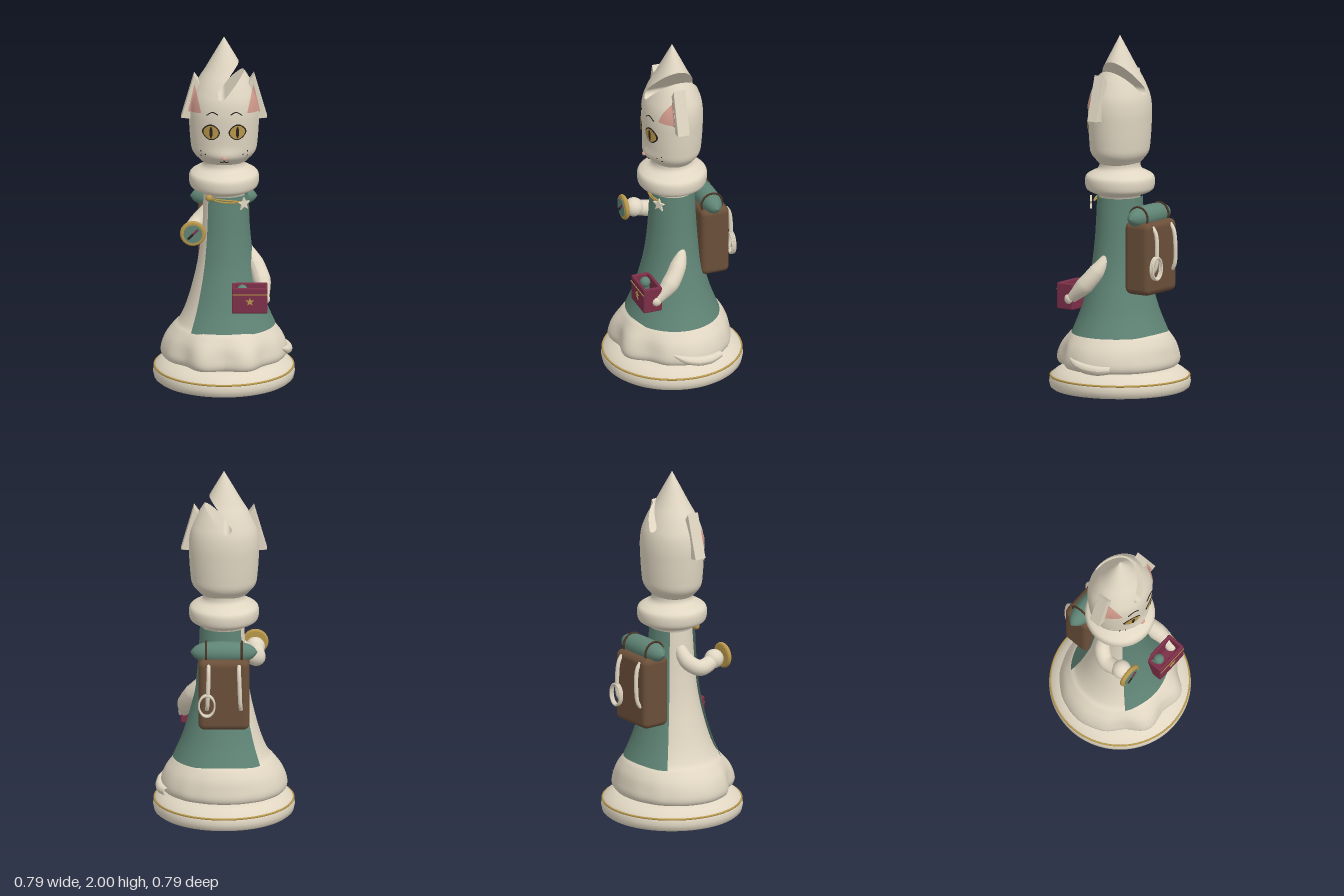
import * as THREE from 'three';
import { mergeVertices } from 'three/addons/utils/BufferGeometryUtils.js';
import { RoundedBoxGeometry } from 'three/addons/geometries/RoundedBoxGeometry.js';

const CREAM = 0xe0d6c2, GREEN = 0x5f8475, BROWN = 0x6b4f39, STRAP = 0x4a3425,
  MAROON = 0x7c2f48, GOLD = 0xb8974a, PINK = 0xd49c8e, DARK = 0x2b2420;
const V = (x, y, z) => new THREE.Vector3(x, y, z);
const V2 = (p) => new THREE.Vector2(p[0], p[1]);

export function createModel() {
  const root = new THREE.Group();
  const add = (name, geo, color, pos = [0, 0, 0], double = false) => {
    const mat = new THREE.MeshStandardMaterial({ color });
    if (double) mat.side = THREE.DoubleSide;
    const m = new THREE.Mesh(geo, mat);
    m.name = name;
    m.position.set(...pos);
    root.add(m);
    return m;
  };
  const smooth = (pts, n = 40) => new THREE.SplineCurve(pts.map(V2)).getPoints(n);
  // Tube whose radius follows a list of values along its length
  const limb = (pts, radii, n = 32, sides = 16) => {
    const curve = new THREE.CatmullRomCurve3(pts.map((p) => V(...p)));
    const geo = new THREE.TubeGeometry(curve, n, 1, sides);
    const pos = geo.attributes.position, v = V(0, 0, 0);
    for (let i = 0; i < pos.count; i++) {
      const t = Math.floor(i / (sides + 1)) / n, c = curve.getPointAt(t);
      const f = t * (radii.length - 1), k = Math.min(Math.floor(f), radii.length - 2);
      const r = THREE.MathUtils.lerp(radii[k], radii[k + 1], f - k);
      v.fromBufferAttribute(pos, i).sub(c).multiplyScalar(r).add(c);
      pos.setXYZ(i, v.x, v.y, v.z);
    }
    geo.computeVertexNormals();
    return geo;
  };
  const star = (r, depth) => {
    const s = new THREE.Shape(Array.from({ length: 10 }, (_, i) => {
      const a = Math.PI / 2 + i * Math.PI / 5, q = i % 2 ? r * 0.42 : r;
      return new THREE.Vector2(q * Math.cos(a), q * Math.sin(a));
    }));
    return new THREE.ExtrudeGeometry(s, { depth, bevelEnabled: false });
  };

  // Base disc with gold trim
  add('base', new THREE.LatheGeometry([[0, 0], [0.375, 0], [0.39, 0.012], [0.396, 0.04], [0.391, 0.068],
    [0.38, 0.085], [0.355, 0.105], [0.33, 0.12], [0.3, 0.135], [0, 0.14]].map(V2), 96), CREAM);
  add('baseTrim', new THREE.TorusGeometry(0.388, 0.006, 8, 96).rotateX(Math.PI / 2), GOLD, [0, 0.073, 0]);

  // Skirt: hem follows a wavy outline over the paws, fading into the round body
  const hem = [0.32, 0.358, 0.32, 0.345, 0.353, 0.348, 0.338, 0.325, 0.32];
  const hemRadius = (a) => {
    const f = Math.abs(Math.atan2(Math.sin(a), Math.cos(a))) / (Math.PI / 8);
    const k = Math.min(Math.floor(f), 7), t = f - k;
    return THREE.MathUtils.lerp(hem[k], hem[k + 1], (1 - Math.cos(Math.PI * t)) / 2);
  };
  const bodyGeo = new THREE.LatheGeometry(smooth([[0.27, 0.145], [0.33, 0.13], [0.352, 0.155], [0.348, 0.2],
    [0.325, 0.255], [0.283, 0.31], [0.25, 0.345], [0.212, 0.43], [0.177, 0.55], [0.148, 0.68], [0.13, 0.82],
    [0.121, 0.95], [0.112, 1.1]], 70), 96);
  const bp = bodyGeo.attributes.position;
  for (let i = 0; i < bp.count; i++) {
    const x = bp.getX(i), y = bp.getY(i), z = bp.getZ(i);
    const w = 1 - THREE.MathUtils.smoothstep(y, 0.19, 0.36);
    const k = 1 + w * (hemRadius(Math.atan2(x, z)) / 0.352 - 1);
    bp.setXYZ(i, x * k, y, z * k);
  }
  bodyGeo.computeVertexNormals();
  add('body', bodyGeo, CREAM, [0, 0, 0], true);

  // Cape, open on one side
  const cape = new THREE.LatheGeometry(smooth([[0.272, 0.32], [0.227, 0.43], [0.191, 0.55], [0.161, 0.68],
    [0.143, 0.82], [0.134, 0.95], [0.128, 1.09]]), 72, -0.71, 4.64);
  cape.scale(1.05, 1, 0.97);
  add('cape', cape, GREEN, [0, 0, 0], true);

  // Neck collar
  add('collar', new THREE.LatheGeometry(smooth([[0.11, 1.07], [0.122, 1.1], [0.16, 1.113], [0.188, 1.132],
    [0.196, 1.17], [0.19, 1.203], [0.165, 1.222], [0.13, 1.24], [0.115, 1.262], [0.115, 1.3]], 48), 72), CREAM);

  // Head surface: oval lathe with a small muzzle in front
  const headPts = smooth([[0, 1.27], [0.11, 1.274], [0.148, 1.3], [0.178, 1.34], [0.188, 1.4], [0.195, 1.5],
    [0.197, 1.58], [0.188, 1.65], [0.165, 1.71], [0.137, 1.765], [0.103, 1.82], [0.053, 1.908], [0, 2]], 110);
  const radiusAt = (y) => {
    const i = headPts.findIndex((p) => p.y >= y);
    if (i < 1) return 0;
    const a = headPts[i - 1], b = headPts[i];
    return a.x + (b.x - a.x) * (y - a.y) / (b.y - a.y);
  };
  const depthAt = (x, y) => 0.86 * Math.sqrt(Math.max(0, radiusAt(y) ** 2 - x * x));
  const muzzle = (x, y) => 0.015 * Math.exp(-((x / 0.09) ** 2) - ((y - 1.335) / 0.045) ** 2);
  const frontAt = (x, y) => depthAt(x, y) + muzzle(x, y);

  // Slanted slot through the crown: vertices inside it snap to its edge
  const A = new THREE.Vector2(-0.016, 1.698), D = new THREE.Vector2(0.65, 0.76).normalize();
  const N = new THREE.Vector2(-D.y, D.x), W = 0.027;
  const headGeo = new THREE.LatheGeometry(headPts, 128);
  headGeo.deleteAttribute('uv');
  headGeo.deleteAttribute('normal');
  const head = mergeVertices(headGeo, 1e-5);
  const hp = head.attributes.position, inside = [];
  for (let i = 0; i < hp.count; i++) {
    let x = hp.getX(i), y = hp.getY(i), z = hp.getZ(i) * 0.86;
    const p = new THREE.Vector2(x, y).sub(A), along = p.dot(D), side = p.dot(N);
    inside[i] = along > 0 ? Math.abs(side) < W : p.length() < W;
    if (inside[i]) {
      if (along > 0) p.copy(D).multiplyScalar(along).addScaledVector(N, side < 0 ? -W : W);
      else p.setLength(W);
      p.add(A);
      for (let k = 0; k < 60 && p.x > radiusAt(p.y); k++) p.addScaledVector(D, -0.001);
      x = p.x; y = p.y;
      z = (z < 0 ? -1 : 1) * depthAt(x, y);
    }
    hp.setXYZ(i, x, y, z > 0 ? z + muzzle(x, y) : z);
  }
  const kept = [], idx = head.index.array;
  for (let i = 0; i < idx.length; i += 3) {
    const t = [idx[i], idx[i + 1], idx[i + 2]];
    if (!t.every((v) => inside[v])) kept.push(...t);
  }
  head.setIndex(kept);
  head.computeVertexNormals();
  add('head', head, CREAM, [0, 0, 0], true);

  // Slot walls: a U-shaped path swept through the depth of the head
  const path = [];
  for (let i = 40; i > 0; i--) path.push(A.clone().addScaledVector(D, i * 0.006).addScaledVector(N, -W));
  for (let i = 0; i <= 16; i++) {
    const a = -Math.PI / 2 + Math.PI * i / 16;
    path.push(A.clone().addScaledVector(D, -W * Math.cos(a)).addScaledVector(N, W * Math.sin(a)));
  }
  for (let i = 1; i <= 40; i++) path.push(A.clone().addScaledVector(D, i * 0.006).addScaledVector(N, W));
  const rim = path.filter((p) => p.x <= radiusAt(p.y));
  const walls = new THREE.PlaneGeometry(1, 1, rim.length - 1, 1);
  rim.forEach((p, i) => [-1, 1].forEach((s, row) =>
    walls.attributes.position.setXYZ(i + row * rim.length, p.x, p.y, s * depthAt(p.x, p.y))));
  walls.computeVertexNormals();
  add('crownSlot', walls, CREAM, [0, 0, 0], true);

  // Thin patches laid on the face
  const decal = (name, geo, map, lift, color, floor = 0) => {
    const p = geo.attributes.position;
    for (let i = 0; i < p.count; i++) {
      const [x, y] = map(p.getX(i), p.getY(i));
      p.setXYZ(i, x, y, Math.max(floor, frontAt(x, y)) + lift);
    }
    geo.computeVertexNormals();
    add(name, geo, color, [0, 0, 0], true);
  };
  const disc = () => new THREE.RingGeometry(0, 1, 32, 6);
  const faceLine = (name, pts, r) => add(name, new THREE.TubeGeometry(new THREE.CatmullRomCurve3(
    pts.map(([x, y]) => V(x, y, frontAt(x, y) + 0.002))), 16, r, 6), DARK);

  for (const s of [-1, 1]) {
    const ear = new THREE.Shape([[0.237, 1.54], [0.167, 1.787], [0.1, 1.69], [0.11, 1.57], [0.18, 1.535]]
      .map(([x, y]) => new THREE.Vector2(s * x, y)));
    add('ear', new THREE.ExtrudeGeometry(ear, { depth: 0.064, bevelThickness: 0.003, bevelSize: 0.002,
      bevelSegments: 2 }), CREAM, [0, 0, -0.012]);
    decal('innerEar', new THREE.PlaneGeometry(2, 1, 12, 12), (u, v) => {
      const t = v + 0.5;
      return [s * (0.165 + 0.037 * u * (1 - t)), 1.585 + 0.155 * t - 0.008 * u * (1 - t)];
    }, 0.004, PINK, 0.056);
    const oval = (a, b, pinch) => (u, v) => [s * 0.074 + a * u, 1.488 + b * v * (1 - pinch * u * u)];
    decal('eyeRim', disc(), oval(0.05, 0.047, 0.25), 0.003, DARK);
    decal('iris', disc(), oval(0.043, 0.04, 0.2), 0.006, GOLD);
    decal('pupil', disc(), oval(0.009, 0.034, 0.1), 0.009, DARK);
    faceLine('brow', [[s * 0.035, 1.592], [s * 0.065, 1.606], [s * 0.1, 1.585]], 0.003);
    faceLine('mouth', [[0, 1.322], [s * 0.005, 1.309], [s * 0.016, 1.305], [s * 0.025, 1.313]], 0.0025);
    for (const [x, y] of [[0.105, 1.35], [0.13, 1.365], [0.128, 1.338]])
      add('whiskerDot', new THREE.SphereGeometry(0.004, 8, 6), DARK, [s * x, y, frontAt(x, y)]);
  }
  add('nose', new THREE.SphereGeometry(0.015, 16, 12).scale(1, 0.75, 0.7), PINK, [0, 1.335, frontAt(0, 1.335) + 0.002]);

  // Right arm holding a compass
  add('rightArm', limb([[-0.09, 0.985, -0.02], [-0.15, 0.91, 0], [-0.185, 0.875, 0.06], [-0.177, 0.9, 0.16]],
    [0.035, 0.045, 0.046, 0.042]), CREAM);
  add('rightHand', new THREE.SphereGeometry(0.054, 24, 18), CREAM, [-0.174, 0.905, 0.162]);
  const compass = [-0.175, 0.915, 0.222];
  add('compassCase', new THREE.CylinderGeometry(0.062, 0.058, 0.026, 40).rotateX(Math.PI / 2), GOLD, compass);
  add('compassRim', new THREE.TorusGeometry(0.06, 0.013, 12, 40), GOLD, compass);
  add('compassFace', new THREE.CylinderGeometry(0.052, 0.052, 0.006, 40).rotateX(Math.PI / 2), GREEN, [-0.175, 0.915, 0.236]);
  for (const [s, c] of [[-1, DARK], [1, MAROON]])
    add('needle', new THREE.BoxGeometry(0.04, 0.012, 0.006).translate(s * 0.02, 0, 0).rotateZ(Math.PI / 4), c,
      [-0.175, 0.915, 0.241]);

  // Left arm holding an open purse
  add('leftArm', limb([[0.125, 0.775, -0.01], [0.165, 0.7, 0.02], [0.21, 0.6, 0.09], [0.222, 0.52, 0.175]],
    [0.02, 0.046, 0.05, 0.03]), CREAM);
  add('leftHand', new THREE.SphereGeometry(0.034, 24, 18), CREAM, [0.222, 0.516, 0.182]);
  const pursePart = (w, h, d, x, y, z) => add('purse', new RoundedBoxGeometry(w, h, d, 3, 0.008), MAROON, [x, y, z]);
  pursePart(0.2, 0.03, 0.11, 0.142, 0.47, 0.207);
  for (const z of [0.161, 0.253]) pursePart(0.2, 0.148, 0.018, 0.142, 0.53, z);
  for (const x of [0.051, 0.233]) pursePart(0.018, 0.148, 0.11, x, 0.53, 0.207);
  add('purseSeam', new THREE.BoxGeometry(0.196, 0.005, 0.004), GOLD, [0.142, 0.567, 0.263]);
  add('purseStar', star(0.025, 0.005), GOLD, [0.142, 0.525, 0.261]);
  add('purseContents', new THREE.SphereGeometry(0.03, 16, 12), GREEN, [0.1, 0.575, 0.2]);

  // Backpack with bedroll, straps and a coiled ring
  add('backpack', new RoundedBoxGeometry(0.285, 0.41, 0.17, 5, 0.035), BROWN, [0, 0.768, -0.21]);
  add('bedroll', new THREE.LatheGeometry(smooth([[0, -0.188], [0.03, -0.165], [0.05, -0.125], [0.059, -0.07],
    [0.061, 0], [0.059, 0.07], [0.05, 0.125], [0.03, 0.165], [0, 0.188]]), 32).rotateZ(Math.PI / 2), GREEN, [0, 0.998, -0.2]);
  for (const x of [-0.1, 0.1])
    add('bedrollStrap', new THREE.TorusGeometry(0.062, 0.006, 8, 32).rotateY(Math.PI / 2), STRAP, [x, 0.995, -0.2]);
  for (const s of [-1, 1])
    add('packStrap', limb([[s * 0.085, 0.95, -0.285], [s * 0.085, 0.915, -0.308], [s * 0.088, 0.82, -0.318],
      [s * 0.092, 0.72, -0.31], [s * 0.095, 0.69, -0.292]], [0.011, 0.012, 0.011]), CREAM);
  for (let i = 0; i < 3; i++)
    add('ropeCoil', new THREE.TorusGeometry(0.044, 0.005, 8, 32).scale(1, 1.4, 1), CREAM, [0.095, 0.72, -0.309 - i * 0.009]);

  // Cape cord with bead and star clasp
  for (const dip of [0, 0.012])
    add('cord', new THREE.TubeGeometry(new THREE.CatmullRomCurve3([V(-0.085, 1.085, 0.105), V(-0.03, 1.082 - dip, 0.131),
      V(0.04, 1.075 - dip, 0.132), V(0.105, 1.06, 0.105)]), 24, 0.005, 8), GOLD);
  add('bead', new THREE.SphereGeometry(0.02, 16, 12), GOLD, [-0.085, 1.085, 0.105]);
  add('starClasp', star(0.04, 0.012).rotateY(0.6), CREAM, [0.107, 1.055, 0.115]);

  // Tail resting on the hem
  add('tail', limb([[0.322, 0.2, 0.11], [0.343, 0.178, 0.06], [0.354, 0.16, -0.01], [0.348, 0.153, -0.09],
    [0.32, 0.158, -0.165]], [0.006, 0.023, 0.028, 0.027, 0.02]), CREAM);

  return root;
}
